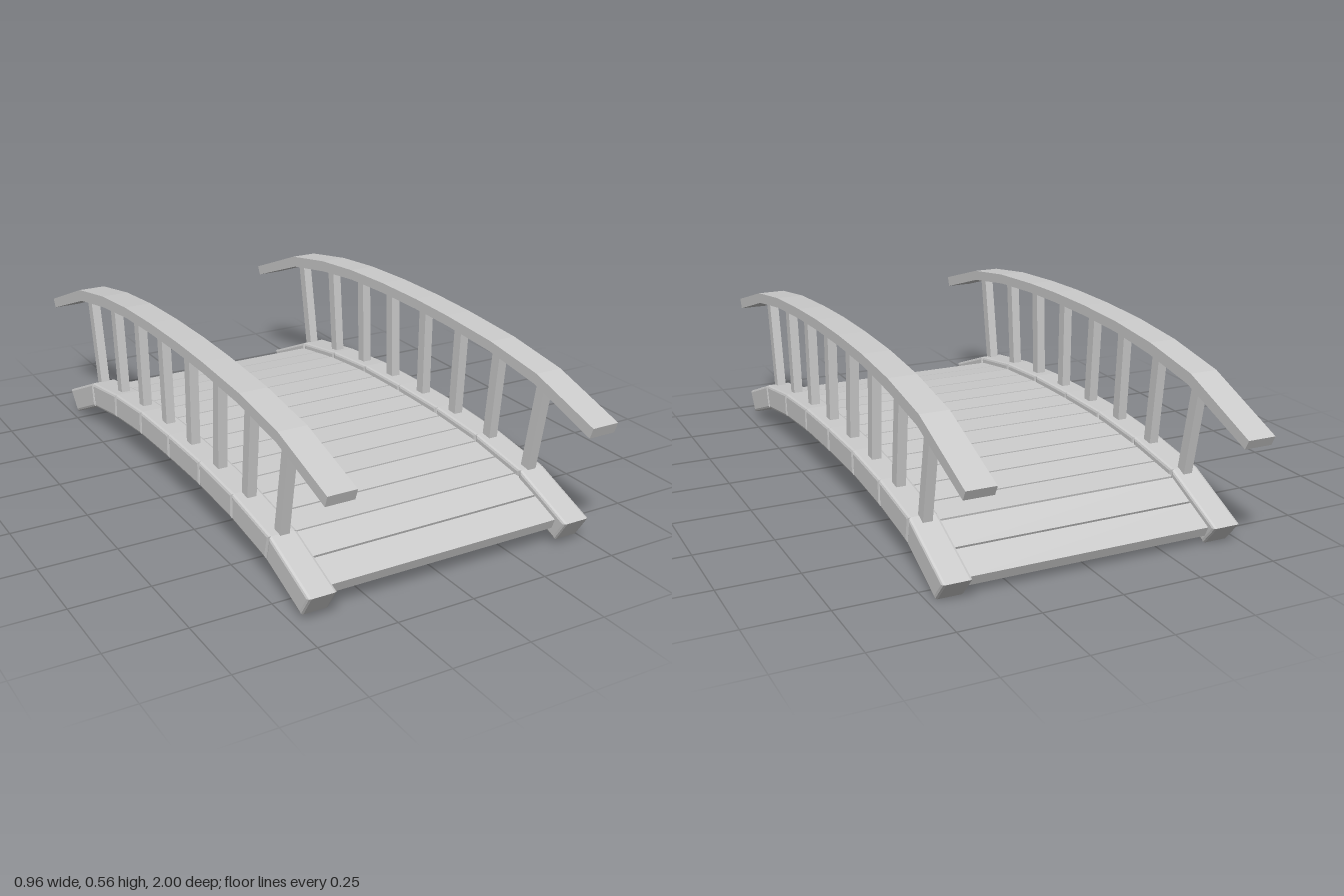
import * as THREE from 'three';

// Side profiles as [z, y] pairs
const beamTop = [[0.915, 0.097], [0.693, 0.181], [0.468, 0.214], [0.248, 0.228], [0.025, 0.231], [-0.193, 0.228], [-0.412, 0.21], [-0.633, 0.177], [-0.867, 0.073]];
const beamBottom = [[0.87, 0.027], [0.672, 0.1], [0.463, 0.131], [0.248, 0.146], [0.025, 0.148], [-0.197, 0.145], [-0.414, 0.126], [-0.618, 0.093], [-0.81, 0.006]];
const railTop = [[1, 0.436], [0.742, 0.514], [0.52, 0.545], [0.29, 0.56], [0.114, 0.566], [-0.09, 0.566], [-0.29, 0.559], [-0.49, 0.541], [-0.71, 0.503], [-1, 0.39]];
const railBottom = [[0.988, 0.402], [0.735, 0.48], [0.515, 0.512], [0.29, 0.527], [0.114, 0.532], [-0.09, 0.532], [-0.285, 0.525], [-0.483, 0.504], [-0.697, 0.467], [-0.985, 0.36]];
// Posts as [bottom z, bottom y, top z, top y]
const posts = [[0.68, 0.17, 0.735, 0.49], [0.485, 0.2, 0.515, 0.52], [0.298, 0.215, 0.313, 0.532], [0.113, 0.22, 0.113, 0.54], [-0.073, 0.22, -0.09, 0.54], [-0.26, 0.215, -0.277, 0.532], [-0.45, 0.198, -0.482, 0.512], [-0.64, 0.16, -0.7, 0.475]];

const material = new THREE.MeshStandardMaterial({ color: 0xcccccc, flatShading: true });

function add(parent, name, geometry) {
  const mesh = new THREE.Mesh(geometry, material);
  mesh.name = name;
  parent.add(mesh);
  return mesh;
}

// Extrudes a [z, y] outline across x, from x0 to x1
function sideExtrude(points, x0, x1, bevel) {
  const shape = new THREE.Shape(points.map(([z, y]) => new THREE.Vector2(-z, y)));
  const geometry = new THREE.ExtrudeGeometry(shape, {
    depth: x1 - x0 - 2 * bevel,
    bevelEnabled: bevel > 0,
    bevelThickness: bevel,
    bevelSize: bevel,
    bevelOffset: -bevel,
    bevelSegments: 2,
  });
  geometry.rotateY(Math.PI / 2);
  geometry.translate(x0 + bevel, 0, 0);
  return geometry;
}

// Box whose y axis runs between two [z, y] points
function barBetween(parent, name, width, depth, x, [z0, y0], [z1, y1]) {
  const length = Math.hypot(z1 - z0, y1 - y0);
  const bar = add(parent, name, new THREE.BoxGeometry(width, length, depth));
  bar.position.set(x, (y0 + y1) / 2, (z0 + z1) / 2);
  bar.rotation.x = Math.atan2(z1 - z0, y1 - y0);
  return bar;
}

function buildSide(side) {
  const group = new THREE.Group();
  group.name = side > 0 ? 'leftSide' : 'rightSide';
  const span = (inner, outer) => (side > 0 ? [inner, outer] : [-outer, -inner]);

  // Arched beam of bevelled blocks
  for (let i = 0; i < beamTop.length - 1; i++) {
    const outline = [beamTop[i], beamTop[i + 1], beamBottom[i + 1], beamBottom[i]];
    add(group, 'beamBlock', sideExtrude(outline, ...span(0.388, 0.478), 0.009));
  }

  // Bent handrail
  const outline = [...railTop, ...[...railBottom].reverse()];
  add(group, 'handrail', sideExtrude(outline, ...span(0.385, 0.475), 0));

  // Fanned posts
  for (const [z0, y0, z1, y1] of posts) {
    barBetween(group, 'post', 0.03, 0.035, side * 0.43, [z0, y0], [z1, y1]);
  }
  return group;
}

// Height of the deck surface, just below the beam tops
function deckHeight(z) {
  let i = 0;
  while (i < beamTop.length - 2 && z < beamTop[i + 1][0]) i++;
  const [z0, y0] = beamTop[i], [z1, y1] = beamTop[i + 1];
  return y0 + (y1 - y0) * (z - z0) / (z1 - z0) - 0.021;
}

function buildDeck() {
  const deck = new THREE.Group();
  deck.name = 'deck';
  const count = 17, start = -0.835, end = 0.875, thickness = 0.035;
  const step = (end - start) / count;
  for (let i = 0; i < count; i++) {
    const z0 = start + i * step, z1 = z0 + step - 0.006;
    const plank = barBetween(deck, 'plank', 0.79, thickness, 0, [z0, deckHeight(z0)], [z1, deckHeight(z1)]);
    plank.translateZ(-thickness / 2);
    // Keep the underside below the walking surface
    if (plank.position.y > deckHeight((z0 + z1) / 2)) plank.translateZ(thickness);
  }
  return deck;
}

export function createModel() {
  const model = new THREE.Group();
  model.name = 'footbridge';
  model.add(buildSide(1), buildSide(-1), buildDeck());
  return model;
}
